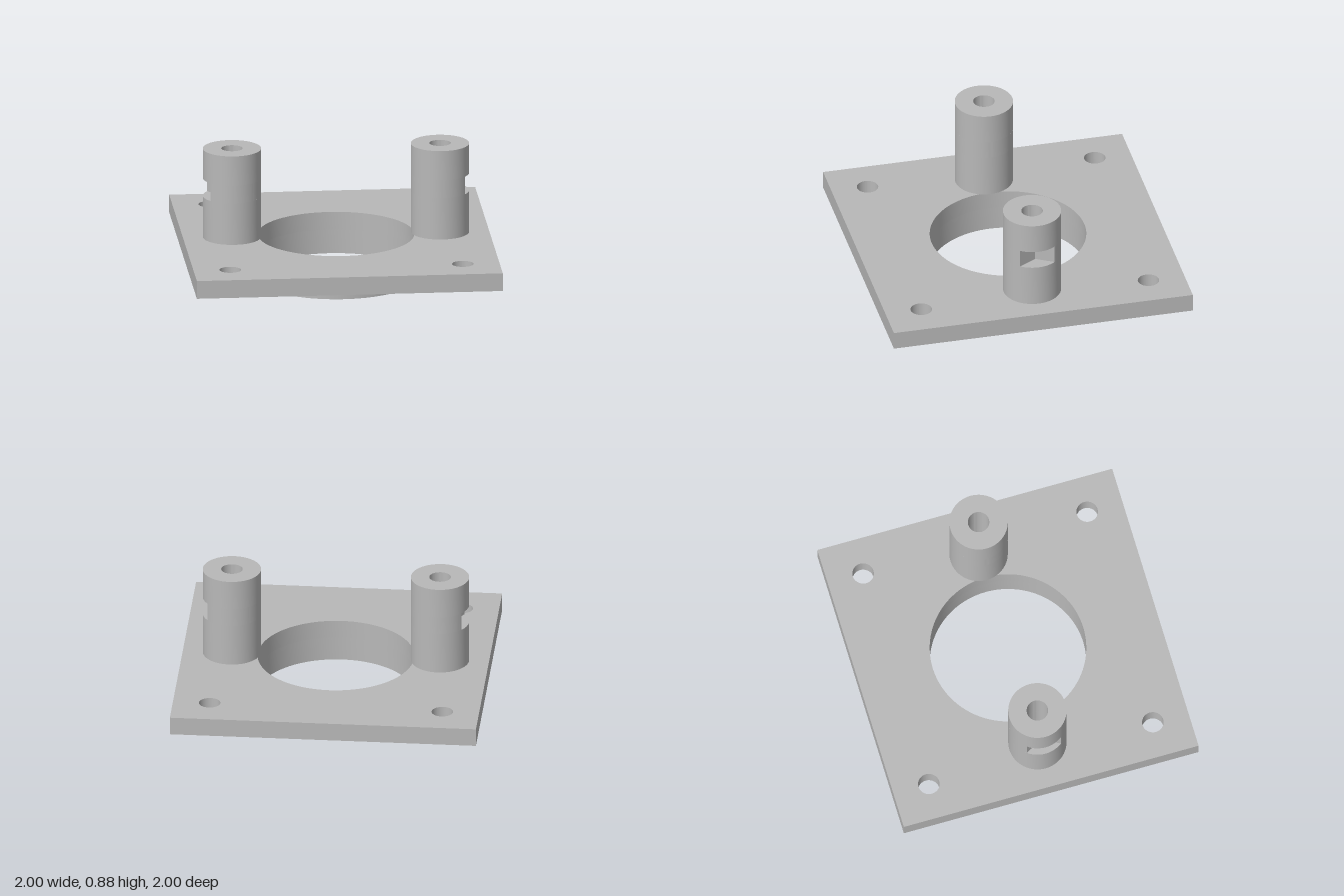
import * as THREE from 'three';
import { toCreasedNormals } from 'three/addons/utils/BufferGeometryUtils.js';

const BORE = 0.51;         // central opening radius
const PLATE_BOTTOM = 0.16;
const PLATE_TOP = 0.28;
const POST_R = 0.19;
const POST_X = 0.68;
const POST_TOP = 0.88;
const SMALL_HOLE = 0.07;

function addHole(shape, x, y, r) {
  shape.holes.push(new THREE.Path().absarc(x, y, r, 0, Math.PI * 2, true));
}

function disc(r) {
  return new THREE.Shape().absarc(0, 0, r, 0, Math.PI * 2, false);
}

// Extrudes a plan shape upwards between two heights, with smooth round walls
function slab(shape, y0, y1, material, name) {
  let geo = new THREE.ExtrudeGeometry(shape, { depth: y1 - y0, bevelEnabled: false, curveSegments: 48 });
  geo.rotateX(-Math.PI / 2);
  geo.translate(0, y0, 0);
  geo = toCreasedNormals(geo, 0.45);
  const mesh = new THREE.Mesh(geo, material);
  mesh.name = name;
  return mesh;
}

export function createModel() {
  const model = new THREE.Group();
  model.name = 'mountingPlate';
  const grey = new THREE.MeshStandardMaterial({ color: 0xb8b8b8 });
  grey.name = 'plain grey';

  // Square plate with central opening and corner screw holes
  const square = new THREE.Shape([[-1, -1], [1, -1], [1, 1], [-1, 1]].map(([x, y]) => new THREE.Vector2(x, y)));
  addHole(square, 0, 0, BORE);
  for (const sx of [-1, 1]) {
    for (const sz of [-1, 1]) addHole(square, sx * 0.76, sz * 0.76, SMALL_HOLE);
  }
  model.add(slab(square, PLATE_BOTTOM, PLATE_TOP, grey, 'plate'));

  // Collar below the plate
  const ring = disc(0.555);
  addHole(ring, 0, 0, BORE);
  model.add(slab(ring, 0, PLATE_BOTTOM, grey, 'collar'));

  // Post sections: full round, and round with a V-shaped nut notch on the outer side
  const round = disc(POST_R);
  addHole(round, 0, 0, SMALL_HOLE);
  const a = Math.asin(0.115 / POST_R);
  const notched = new THREE.Shape();
  notched.absarc(0, 0, POST_R, a, Math.PI * 2 - a, false);
  notched.lineTo(0.085, 0);
  notched.closePath();
  addHole(notched, 0, 0, SMALL_HOLE);

  // Two bored posts with notches facing outwards
  for (const side of [1, -1]) {
    const post = new THREE.Group();
    post.name = side > 0 ? 'leftPost' : 'rightPost';
    post.add(
      slab(round, PLATE_TOP, 0.56, grey, 'postBase'),
      slab(notched, 0.56, 0.68, grey, 'postNotch'),
      slab(round, 0.68, POST_TOP, grey, 'postHead')
    );
    post.position.x = side * POST_X;
    if (side < 0) post.rotation.y = Math.PI;
    model.add(post);
  }
  return model;
}
